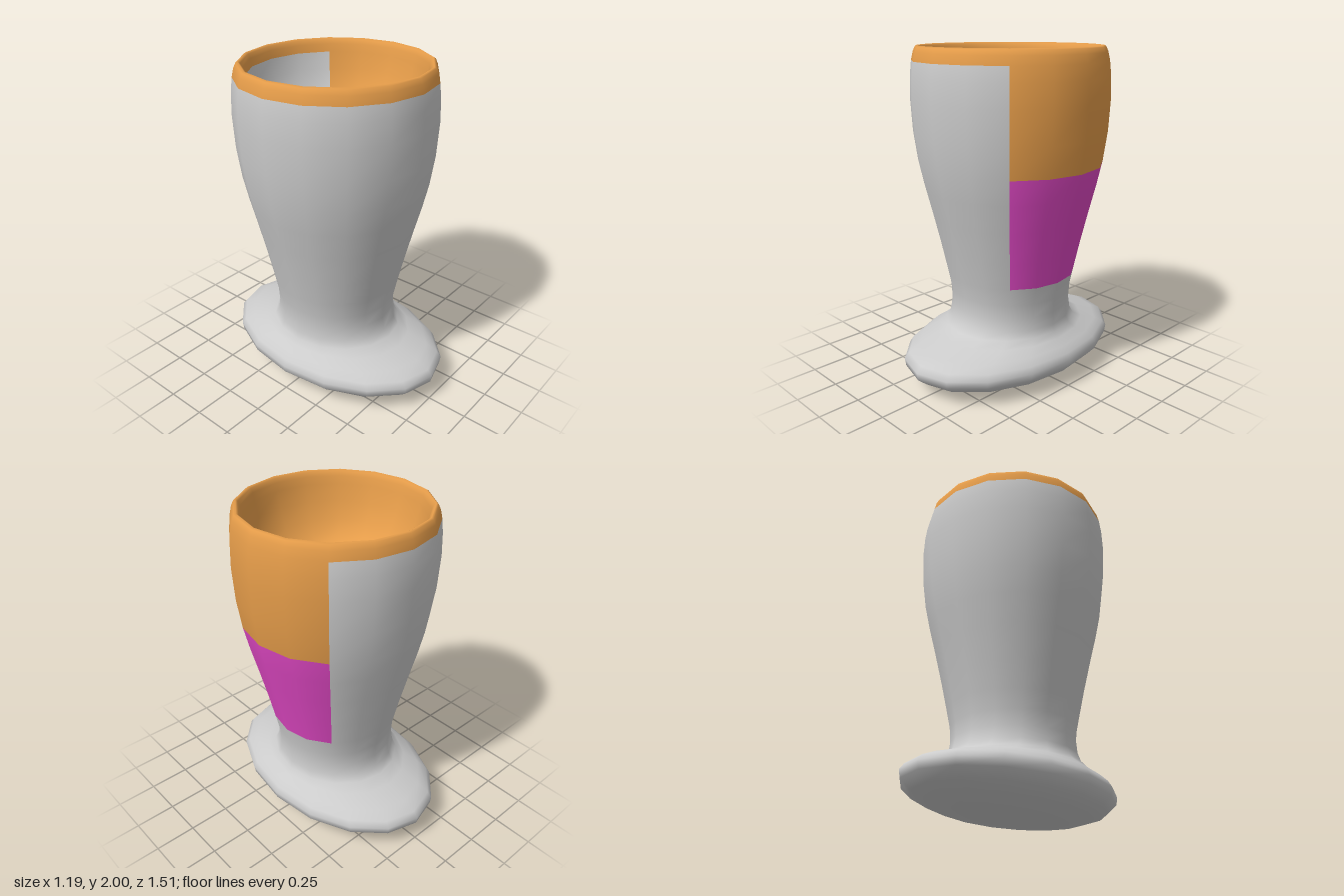
import * as THREE from 'three';

const SIDES = 16;

// Rings from the underside up the outside, over the rim and down into the bowl:
// [y, half width x, half depth z, squareness, colour zone of the band above it]
const RINGS = [
  [0.005, 0, 0, 0, 'foot'],
  [0.015, 0.2, 0.3, 0, 'foot'],
  [0.04, 0.36, 0.54, 0, 'foot'],
  [0.085, 0.455, 0.69, 0, 'foot'],
  [0.135, 0.502, 0.748, 0, 'foot'],
  [0.18, 0.51, 0.755, 0, 'foot'],
  [0.215, 0.49, 0.725, 0, 'foot'],
  [0.25, 0.455, 0.645, 0, 'foot'],
  [0.285, 0.41, 0.505, 0, 'foot'],
  [0.32, 0.382, 0.425, 0, 'foot'],
  [0.365, 0.37, 0.388, 0, 'body'],
  [0.44, 0.366, 0.372, 0, 'body'],
  [0.53, 0.374, 0.376, 0, 'body'],
  [0.64, 0.398, 0.398, 0, 'lowerPanel'],
  [0.8, 0.433, 0.433, 0, 'lowerPanel'],
  [1.0, 0.481, 0.481, 0, 'lowerPanel'],
  [1.17, 0.524, 0.524, 0, 'lowerPanel'],
  [1.32, 0.557, 0.557, 0, 'upperPanel'],
  [1.5, 0.582, 0.582, 0, 'upperPanel'],
  [1.7, 0.593, 0.593, 0, 'upperPanel'],
  [1.83, 0.588, 0.588, 0, 'upperPanel'],
  [1.915, 0.578, 0.578, 0, 'rim'],
  [1.965, 0.566, 0.566, 0, 'rim'],
  [1.993, 0.553, 0.553, 0, 'rim'],
  [2.0, 0.541, 0.541, 0, 'rim'],
  [1.99, 0.528, 0.528, 0, 'rim'],
  [1.965, 0.519, 0.519, 0, 'rim'],
  [1.92, 0.508, 0.508, 0, 'bowl'],
  [1.82, 0.488, 0.488, 0, 'bowl'],
  [1.71, 0.443, 0.443, 0.03, 'bowl'],
  [1.63, 0.385, 0.385, 0.08, 'bowl'],
  [1.57, 0.315, 0.315, 0.165, 'floor'],
  [1.525, 0.17, 0.17, 0.1, 'floor'],
  [1.51, 0, 0, 0, 'floor'],
];

// Which coloured part a quad belongs to
function partOf(zone, k) {
  const leftSide = k >= 2 && k < 6;
  const back = k >= 6 && k < 10;
  if (zone === 'upperPanel' || zone === 'lowerPanel') return leftSide ? zone : 'body';
  if (zone === 'bowl') return back ? 'bowlBackPatch' : 'bowlWall';
  return zone === 'floor' ? 'bowlFloor' : zone;
}

export function createModel() {
  const positions = [];
  for (const [y, rx, rz, square] of RINGS) {
    for (let k = 0; k < SIDES; k++) {
      const a = (k / SIDES) * Math.PI * 2;
      const bulge = square * Math.sin(2 * a) ** 2;
      positions.push(
        rx * (1 + bulge) * Math.sin(a),
        y + bulge * 0.18,
        rz * (1 + bulge) * Math.cos(a)
      );
    }
  }
  // End rings collapse to one shared vertex
  const vertex = (i, k) => i * SIDES + (RINGS[i][1] === 0 ? 0 : k % SIDES);

  const all = [];
  const parts = {};
  for (let i = 0; i < RINGS.length - 1; i++) {
    for (let k = 0; k < SIDES; k++) {
      const a = vertex(i, k), b = vertex(i, k + 1);
      const c = vertex(i + 1, k + 1), d = vertex(i + 1, k);
      const list = (parts[partOf(RINGS[i][4], k)] ??= []);
      for (const tri of [[a, b, c], [a, c, d]]) {
        if (new Set(tri).size < 3) continue;
        list.push(...tri);
        all.push(...tri);
      }
    }
  }

  // Smooth normals are found on the whole skin so colour borders stay seamless
  const skin = new THREE.BufferGeometry();
  skin.setAttribute('position', new THREE.Float32BufferAttribute(positions, 3));
  skin.setIndex(all);
  skin.computeVertexNormals();

  const grey = new THREE.MeshStandardMaterial({ color: 0xcccccc });
  const orange = new THREE.MeshStandardMaterial({ color: 0xe69d4a });
  const magenta = new THREE.MeshStandardMaterial({ color: 0xe048c4 });
  const materials = { rim: orange, bowlWall: orange, upperPanel: orange, lowerPanel: magenta };

  const group = new THREE.Group();
  group.name = 'footedCup';
  for (const [name, index] of Object.entries(parts)) {
    skin.setIndex(index);
    const mesh = new THREE.Mesh(skin.toNonIndexed(), materials[name] ?? grey);
    mesh.name = name;
    group.add(mesh);
  }
  return group;
}
